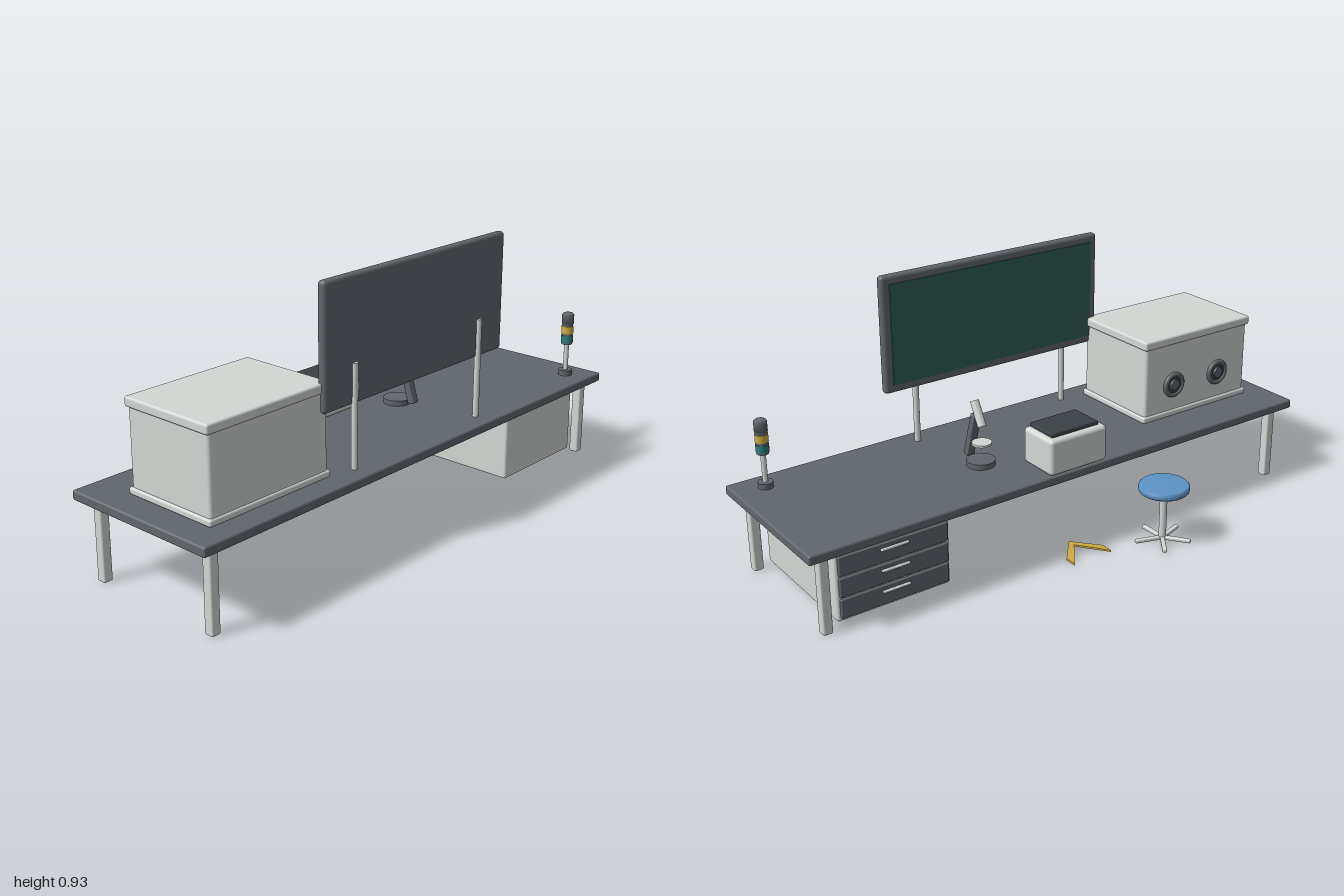
import * as THREE from 'three';
import { RoundedBoxGeometry } from 'three/addons/geometries/RoundedBoxGeometry.js';

const mat = (name, color) => {
  const m = new THREE.MeshStandardMaterial({ color });
  m.name = name;
  return m;
};

export function createModel() {
  const model = new THREE.Group();
  model.name = 'laboratoryWorkbench';
  const white = mat('paleGrey', 0xd3d8d5);
  const slate = mat('slateGrey', 0x61676d);
  const black = mat('charcoal', 0x3a4145);
  const blue = mat('seatBlue', 0x5d94c6);
  const yellow = mat('yellow', 0xcfac42);
  const green = mat('boardGreen', 0x2f5f56);
  const teal = mat('lampTeal', 0x2f7f7c);

  const group = (name) => {
    const g = new THREE.Group();
    g.name = name;
    model.add(g);
    return g;
  };
  const add = (parent, name, geometry, material, x = 0, y = 0, z = 0) => {
    const m = new THREE.Mesh(geometry, material);
    m.name = name;
    m.position.set(x, y, z);
    parent.add(m);
    return m;
  };
  // Rounded box given by its limits on each axis
  const box = (parent, name, material, [x0, x1], [y0, y1], [z0, z1], r = 0.006) =>
    add(parent, name, new RoundedBoxGeometry(x1 - x0, y1 - y0, z1 - z0, 3, r), material,
      (x0 + x1) / 2, (y0 + y1) / 2, (z0 + z1) / 2);
  // Upright cylinder between two heights
  const post = (parent, name, material, r, y0, y1, x, z, sides = 24) =>
    add(parent, name, new THREE.CylinderGeometry(r, r, y1 - y0, sides), material, x, (y0 + y1) / 2, z);

  // Table
  const table = group('table');
  box(table, 'tableTop', slate, [-0.19, 0.395], [0.275, 0.308], [-1, 1], 0.007);
  for (const x of [-0.138, 0.346])
    for (const z of [-0.936, 0.936])
      box(table, 'tableLeg', white, [x - 0.017, x + 0.017], [0, 0.277], [z - 0.017, z + 0.017], 0.006);

  // Drawer cabinet, drawers facing the stool side
  const cabinet = group('drawerCabinet');
  box(cabinet, 'cabinetBody', white, [-0.14, 0.34], [0.02, 0.26], [-0.895, -0.485], 0.009);
  for (let i = 0; i < 3; i++) {
    const y = 0.033 + i * 0.074;
    box(cabinet, 'drawerFront', slate, [-0.15, -0.138], [y, y + 0.067], [-0.885, -0.495], 0.004);
    box(cabinet, 'drawerHandle', white, [-0.159, -0.148], [y + 0.043, y + 0.051], [-0.74, -0.64], 0.003);
  }

  // Glove box with two round ports
  const glove = group('gloveBox');
  box(glove, 'gloveBoxBase', white, [-0.04, 0.316], [0.308, 0.331], [0.407, 0.905], 0.007);
  box(glove, 'gloveBoxBody', white, [-0.034, 0.31], [0.322, 0.592], [0.415, 0.897], 0.011);
  box(glove, 'gloveBoxLid', white, [-0.041, 0.315], [0.584, 0.617], [0.407, 0.905], 0.008);
  for (const z of [0.547, 0.757]) {
    const ring = add(glove, 'portRing', new THREE.TorusGeometry(0.039, 0.009, 12, 36), slate, -0.036, 0.428, z);
    ring.rotation.y = Math.PI / 2;
    const disc = add(glove, 'portCover', new THREE.CylinderGeometry(0.037, 0.037, 0.01, 32), black, -0.035, 0.428, z);
    disc.rotation.z = Math.PI / 2;
    const hub = add(glove, 'portHub', new THREE.CylinderGeometry(0.019, 0.022, 0.008, 24), slate, -0.042, 0.428, z);
    hub.rotation.z = Math.PI / 2;
  }

  // Wall board on two posts
  const board = group('board');
  box(board, 'boardPanel', slate, [0.295, 0.327], [0.52, 0.932], [-0.446, 0.446], 0.013);
  add(board, 'boardFace', new THREE.BoxGeometry(0.006, 0.354, 0.83), green, 0.294, 0.726, 0);
  for (const z of [-0.312, 0.312]) post(board, 'boardPost', white, 0.011, 0.306, 0.655, 0.327, z);

  // Desktop instrument
  const device = group('instrument');
  box(device, 'instrumentBody', white, [-0.19, -0.033], [0.309, 0.437], [-0.117, 0.117], 0.014);
  box(device, 'instrumentPad', black, [-0.167, -0.04], [0.434, 0.449], [-0.096, 0.096], 0.003);

  // Microscope
  const scope = group('microscope');
  const sx = 0.035, sz = -0.243;
  post(scope, 'microscopeBase', slate, 0.049, 0.308, 0.327, sx, sz, 32);
  const arm = add(scope, 'microscopeArm', new RoundedBoxGeometry(0.026, 0.17, 0.03, 2, 0.004), slate, 0.083, 0.401, sz);
  arm.rotation.z = 0.3;
  post(scope, 'microscopeStage', white, 0.034, 0.385, 0.393, 0.027, sz, 28);
  const tube = add(scope, 'microscopeTube', new THREE.CylinderGeometry(0.015, 0.015, 0.09, 24), white, 0.045, 0.489, sz);
  tube.rotation.z = -0.5;

  // Signal lamp
  const lamp = group('signalLamp');
  const lx = 0.307, lz = -0.897;
  post(lamp, 'lampBase', slate, 0.025, 0.308, 0.328, lx, lz);
  post(lamp, 'lampPole', white, 0.009, 0.32, 0.435, lx, lz);
  post(lamp, 'lampCore', slate, 0.02, 0.428, 0.52, lx, lz);
  post(lamp, 'lampTealLight', teal, 0.022, 0.434, 0.461, lx, lz);
  post(lamp, 'lampYellowLight', yellow, 0.022, 0.47, 0.497, lx, lz);
  const cap = [[0, 0.506], [0.022, 0.506], [0.022, 0.54], [0.017, 0.546], [0, 0.547]]
    .map(([r, y]) => new THREE.Vector2(r, y));
  add(lamp, 'lampCap', new THREE.LatheGeometry(cap, 24), slate, lx, 0, lz);

  // Stool with a five-arm foot
  const stool = group('stool');
  stool.position.set(-0.31, 0, 0.272);
  const seat = [[0, 0.195], [0.083, 0.195], [0.087, 0.199], [0.088, 0.207], [0.087, 0.216], [0.082, 0.221], [0, 0.222]]
    .map(([r, y]) => new THREE.Vector2(r, y));
  add(stool, 'seat', new THREE.LatheGeometry(seat, 40), blue);
  post(stool, 'stoolColumn', white, 0.013, 0.012, 0.197, 0, 0);
  for (let i = 0; i < 5; i++) {
    const foot = new THREE.Group();
    foot.name = 'stoolFoot';
    foot.rotation.y = (i * Math.PI * 2) / 5;
    stool.add(foot);
    box(foot, 'footArm', white, [0, 0.1], [0.009, 0.022], [-0.008, 0.008], 0.004);
  }

  // Flat floor chevron
  const chevron = new THREE.Shape([[-0.135, 0], [-0.225, 0.078], [-0.27, 0.078], [-0.165, 0], [-0.27, -0.078], [-0.225, -0.078]]
    .map(([x, y]) => new THREE.Vector2(x, y)));
  const marker = add(model, 'floorChevron', new THREE.ExtrudeGeometry(chevron, { depth: 0.007, bevelEnabled: false }), yellow, 0, 0.003, 0);
  marker.rotation.x = -Math.PI / 2;

  return model;
}
